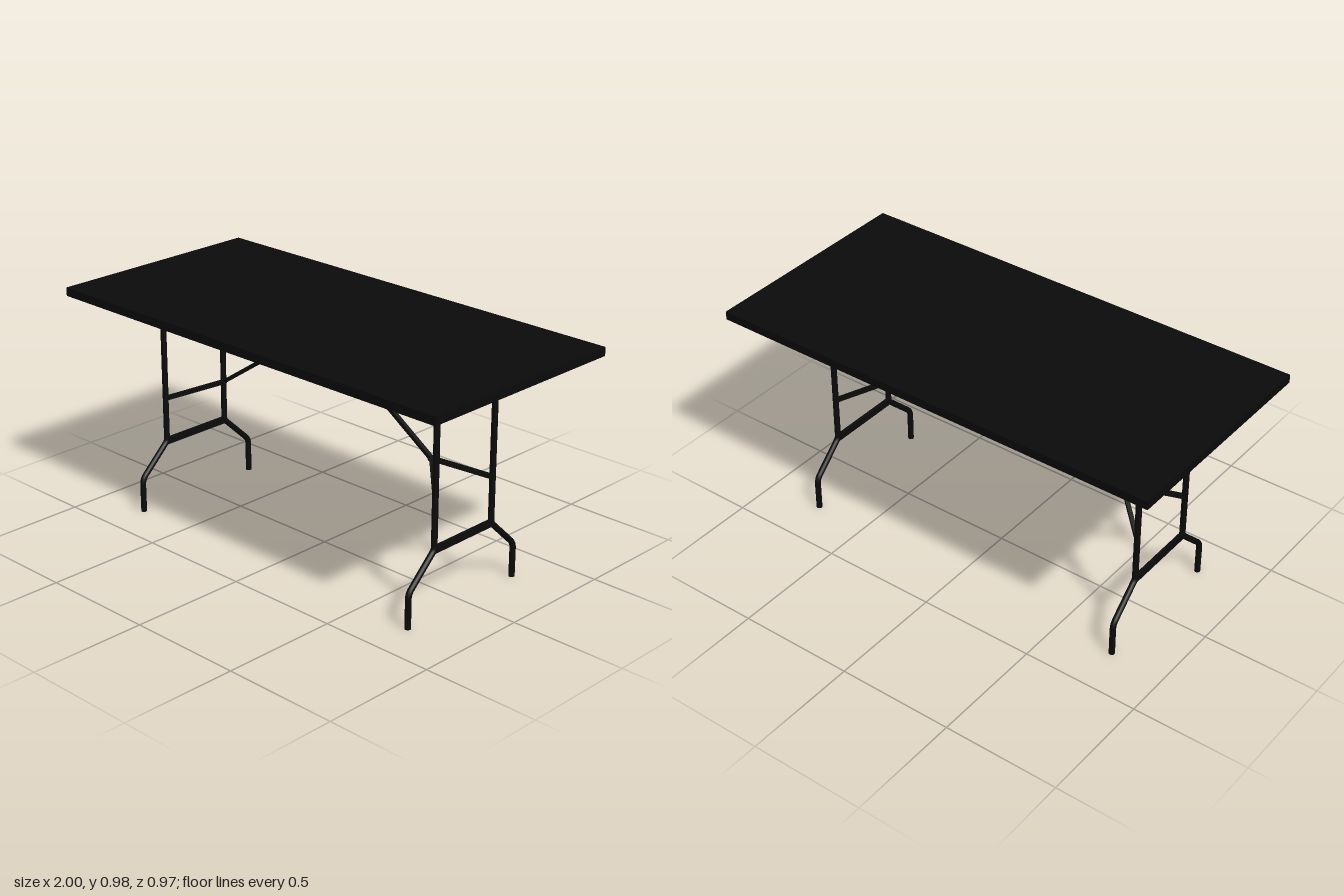
import * as THREE from 'three';

const V = (x, y, z) => new THREE.Vector3(x, y, z);
const black = new THREE.MeshStandardMaterial({ color: 0x0a0a0a });

function addMesh(parent, name, geometry) {
  const mesh = new THREE.Mesh(geometry, black);
  mesh.name = name;
  parent.add(mesh);
  return mesh;
}

// Polyline whose inner corners are replaced by short curves
function bentPath(points, radii) {
  const path = new THREE.CurvePath();
  let from = points[0];
  for (let i = 1; i < points.length - 1; i++) {
    const p = points[i];
    const a = p.clone().add(points[i - 1].clone().sub(p).setLength(radii[i - 1]));
    const b = p.clone().add(points[i + 1].clone().sub(p).setLength(radii[i - 1]));
    path.add(new THREE.LineCurve3(from, a));
    path.add(new THREE.QuadraticBezierCurve3(a, p, b));
    from = b;
  }
  path.add(new THREE.LineCurve3(from, points[points.length - 1]));
  return path;
}

// Bar of rectangular section from a to b; its depth stays horizontal
function addBar(parent, name, a, b, depth, height) {
  const bar = addMesh(parent, name, new THREE.BoxGeometry(depth, height, a.distanceTo(b)));
  bar.position.lerpVectors(a, b, 0.5);
  bar.lookAt(b);
  return bar;
}

export function createModel() {
  const table = new THREE.Group();
  table.name = 'foldingTable';

  const top = addMesh(table, 'tabletop', new THREE.BoxGeometry(2, 0.036, 0.966));
  top.position.y = 0.963;

  const zMid = 0.011, legZ = 0.166, footZ = 0.307, tube = 0.0125;
  const apex = V(0, 0.937, zMid);

  for (const [side, x] of [['left', 0.745], ['right', -0.76]]) {
    const frame = new THREE.Group();
    frame.name = side + 'LegFrame';
    table.add(frame);
    const joint = V(Math.sign(x) * 0.578, 0.552, zMid);

    for (const s of [1, -1]) {
      // Tubular leg, splayed outward to the foot
      const path = bentPath([
        V(x, 0.941, zMid + s * legZ),
        V(x, 0.28, zMid + s * legZ),
        V(x, 0.146, zMid + s * footZ),
        V(x, 0, zMid + s * footZ),
      ], [0.012, 0.022]);
      addMesh(frame, 'leg', new THREE.TubeGeometry(path, 90, tube, 14));
      for (const [y, z, turn] of [[0.941, legZ, -1], [0, footZ, 1]]) {
        const cap = addMesh(frame, 'legCap', new THREE.CircleGeometry(tube, 14));
        cap.position.set(x, y, zMid + s * z);
        cap.rotation.x = turn * Math.PI / 2;
      }
      // Arm of the V brace, from leg to joint
      addBar(frame, 'braceArm', V(x, 0.474, zMid + s * legZ), joint, 0.016, 0.018);
    }

    // Bar joining the two legs
    addBar(frame, 'crossbar', V(x, 0.28, zMid - legZ), V(x, 0.28, zMid + legZ), 0.016, 0.028);

    // Long diagonal up to the middle of the underside
    addBar(frame, 'diagonalBrace', joint, apex, 0.018, 0.015);
    const pin = addMesh(frame, 'bracePin', new THREE.CylinderGeometry(0.009, 0.009, 0.024, 12));
    pin.rotation.x = Math.PI / 2;
    pin.position.copy(joint);
  }

  // Bracket holding both diagonals under the top
  const bracket = addMesh(table, 'centreBracket', new THREE.BoxGeometry(0.014, 0.014, 0.018));
  bracket.position.set(0, 0.94, zMid);

  return table;
}
